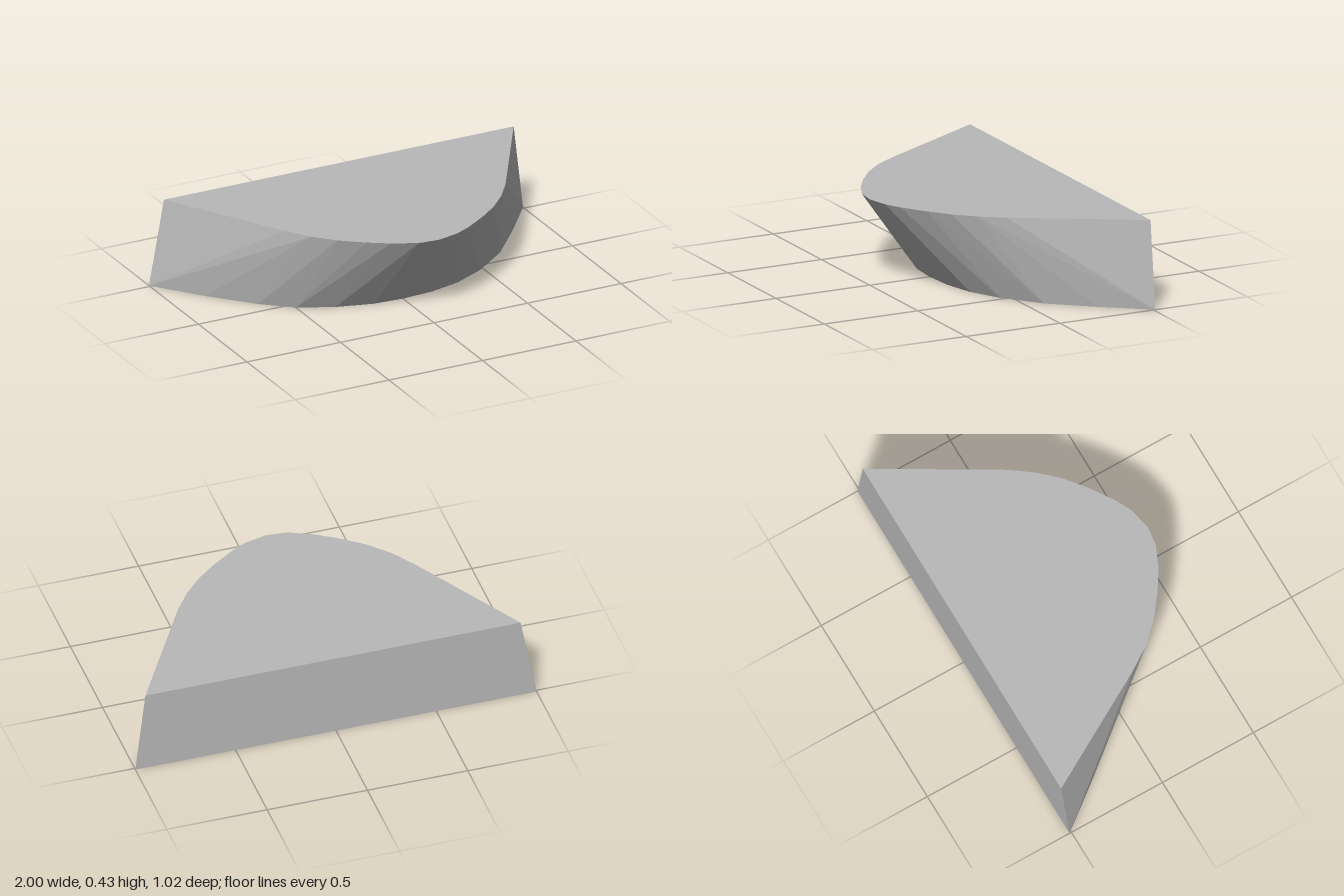
import * as THREE from 'three';
import { ConvexGeometry } from 'three/addons/geometries/ConvexGeometry.js';

export function createModel() {
  const group = new THREE.Group();
  group.name = 'bowFrontBlock';
  const grey = new THREE.MeshStandardMaterial({ color: 0xb8b8b8 });
  grey.name = 'plain grey';

  // Bottom outline (x, z): wide and shallow
  const bottom = [
    [-1, -0.51], [-0.82, -0.28], [-0.64, -0.08], [-0.5, 0.04], [-0.33, 0.12], [-0.15, 0.17], [0, 0.18],
    [0.16, 0.17], [0.32, 0.13], [0.48, 0.05], [0.66, -0.09], [0.83, -0.29], [1, -0.51],
  ];
  // Top outline (x, z): narrower, bulging far forward
  const top = [
    [-0.92, -0.51], [-0.58, 0.08], [-0.5, 0.2], [-0.41, 0.295], [-0.3, 0.38], [-0.2, 0.445], [-0.08, 0.5], [0.02, 0.51],
    [0.13, 0.485], [0.21, 0.445], [0.33, 0.365], [0.43, 0.285], [0.52, 0.19], [0.6, 0.08], [0.95, -0.51],
  ];

  // Faceted skin stretched between the two outlines, flat at the back
  const ring = (outline, y) => outline.map(([x, z]) => new THREE.Vector3(x, y, z));
  const body = new THREE.Mesh(new ConvexGeometry([...ring(bottom, 0), ...ring(top, 0.43)]), grey);
  body.name = 'body';
  group.add(body);
  return group;
}
